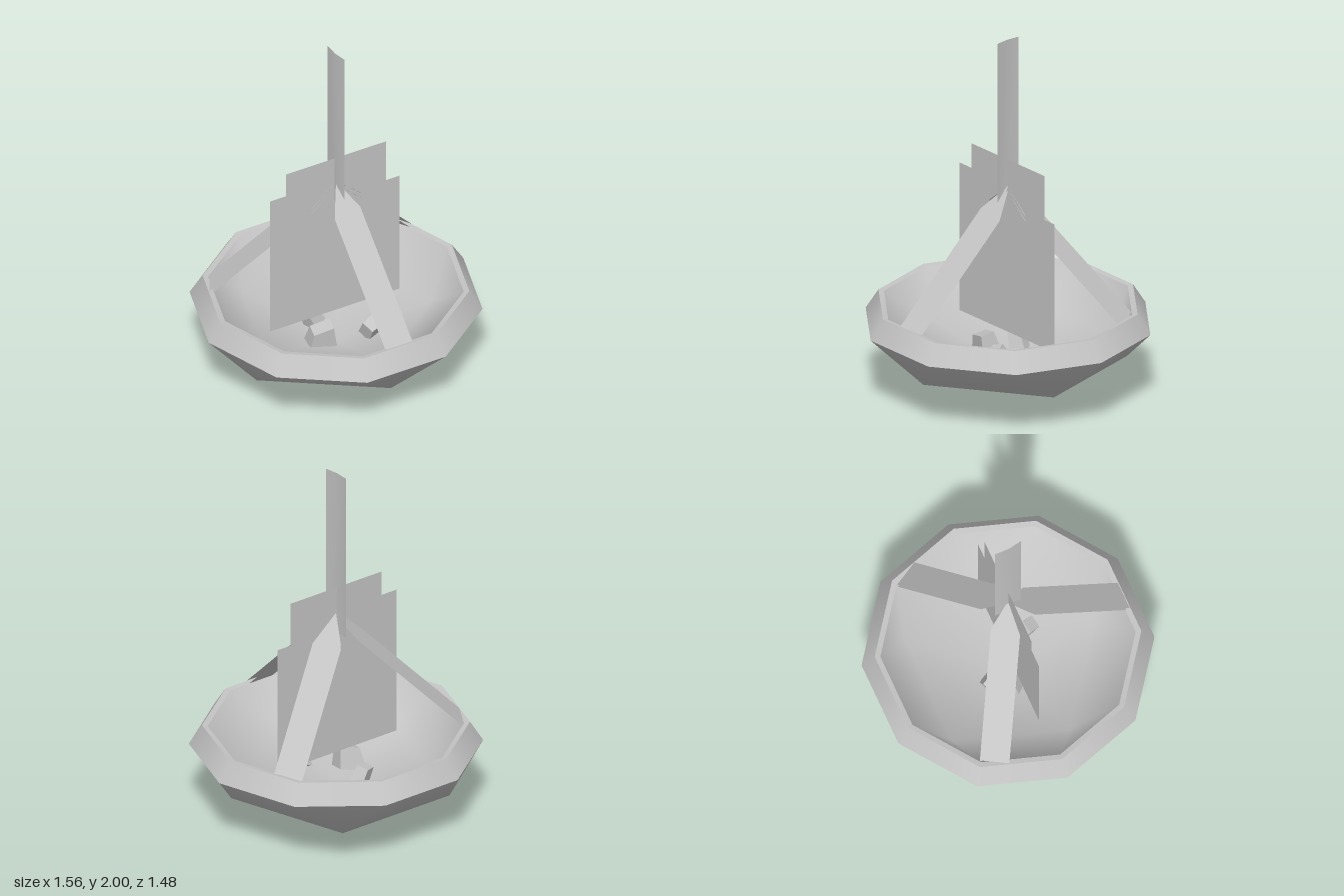
import * as THREE from 'three';

const grey = new THREE.MeshStandardMaterial({ color: 0xc4c4c4, side: THREE.DoubleSide });
grey.name = 'grey';

function add(parent, geometry, name) {
  const mesh = new THREE.Mesh(geometry, grey);
  mesh.name = name;
  parent.add(mesh);
  return mesh;
}

// Smooth shell: a ten-sided edge, closing to a five-sided ring and a point
function shell(edge, ring, tip, inward) {
  const points = [];
  const push = (r, y, degrees, z) => {
    const a = THREE.MathUtils.degToRad(degrees);
    points.push(r * Math.sin(a), y, r * Math.cos(a) + z);
  };
  for (let k = 0; k < 10; k++) push(edge.r, edge.y, 36 * k - 18, 0);
  for (let j = 0; j < 5; j++) push(ring.r, ring.y, 72 * j, -0.03);
  points.push(-0.015, tip, 0);

  const index = [];
  const face = (a, b, c) => index.push(...(inward ? [a, c, b] : [a, b, c]));
  for (let j = 0; j < 5; j++) {
    const here = 10 + j;
    const next = 10 + ((j + 1) % 5);
    const far = (2 * j + 2) % 10;
    face(here, 2 * j + 1, 2 * j);
    face(here, next, far);
    face(here, far, 2 * j + 1);
    face(15, next, here);
  }
  const g = new THREE.BufferGeometry();
  g.setAttribute('position', new THREE.Float32BufferAttribute(points, 3));
  g.setIndex(index);
  g.computeVertexNormals();
  return g;
}

// Ten-sided band with corners on the x axis
function band(r1, y1, r2, y2) {
  const profile = [new THREE.Vector2(r1, y1), new THREE.Vector2(r2, y2)];
  return new THREE.LatheGeometry(profile, 10, Math.PI / 2);
}

function outline(points) {
  return new THREE.ShapeGeometry(new THREE.Shape(points.map(([x, y]) => new THREE.Vector2(x, y))));
}

// Irregular lump: a box narrowed and sheared towards its top, with flat faces
function lump(w, h, d, taper, shear) {
  const g = new THREE.BoxGeometry(w, h, d).toNonIndexed();
  const p = g.attributes.position;
  for (let i = 0; i < p.count; i++) {
    const k = p.getY(i) > 0 ? taper : 1;
    p.setX(i, p.getX(i) * k + p.getY(i) * shear);
    p.setZ(i, p.getZ(i) * k);
  }
  g.computeVertexNormals();
  return g;
}

export function createModel() {
  const model = new THREE.Group();
  model.name = 'brazier';

  // Bowl: pointed underside, inward-leaning rim, narrow lip and a hollow of the same form
  const bowl = new THREE.Group();
  bowl.name = 'bowl';
  model.add(bowl);
  add(bowl, shell({ r: 0.78, y: 0.4 }, { r: 0.608, y: 0.182 }, 0, false), 'bowlUnderside');
  add(bowl, band(0.78, 0.4, 0.71, 0.51), 'bowlRim');
  add(bowl, band(0.71, 0.51, 0.68, 0.505), 'bowlLip');
  add(bowl, shell({ r: 0.68, y: 0.505 }, { r: 0.53, y: 0.3 }, 0.15, true), 'bowlInside');

  // Three pointed struts leaning from the rim to the centre, each two thin sheets
  for (let i = 0; i < 3; i++) {
    const strut = new THREE.Group();
    strut.name = 'strut' + (i + 1);
    strut.position.y = 1.17;
    strut.rotation.y = (i * Math.PI * 2) / 3;
    for (const [name, drop] of [['strutTop', 0], ['strutBottom', 0.02]]) {
      const g = outline([[0, 0], [-0.078, -0.17], [-0.078, -0.937], [0.078, -0.937], [0.078, -0.17]]);
      g.translate(0, -drop, -drop).rotateX(-0.797);
      add(strut, g, name);
    }
    model.add(strut);
  }

  // Upright blade above the struts: one sheet with a slight fold down the middle
  const blade = new THREE.PlaneGeometry(0.155, 0.95, 2, 1);
  const corners = blade.attributes.position;
  for (let i = 0; i < corners.count; i++) {
    const x = corners.getX(i);
    corners.setZ(i, x === 0 ? -0.008 : -0.08 * x);
  }
  blade.computeVertexNormals();
  const bladeMesh = add(model, blade, 'blade');
  bladeMesh.position.y = 1.525;
  bladeMesh.rotation.y = Math.PI / 2;

  // Stepped flame sheet
  add(model, outline([
    [-0.405, 0.34], [0.39, 0.34], [0.39, 1.07], [0.305, 1.07],
    [0.305, 1.32], [-0.305, 1.32], [-0.305, 1.18], [-0.405, 1.18],
  ]), 'flameSheet');

  // Coals in the bowl
  const coals = [
    { size: [0.16, 0.12, 0.11, 0.7, 0.3], at: [-0.125, 0.25, 0.055], turn: [0.2, -0.2, 0.3] },
    { size: [0.08, 0.1, 0.08, 0.9, 0.1], at: [0.12, 0.28, 0.16], turn: [0.5, 0.35, 0.2] },
    { size: [0.09, 0.09, 0.08, 0.8, -0.2], at: [-0.075, 0.24, -0.13], turn: [-0.3, 0.4, 0.3] },
  ];
  coals.forEach(({ size, at, turn }, i) => {
    const coal = add(model, lump(...size), 'coal' + (i + 1));
    coal.position.set(...at);
    coal.rotation.set(...turn);
  });

  return model;
}
